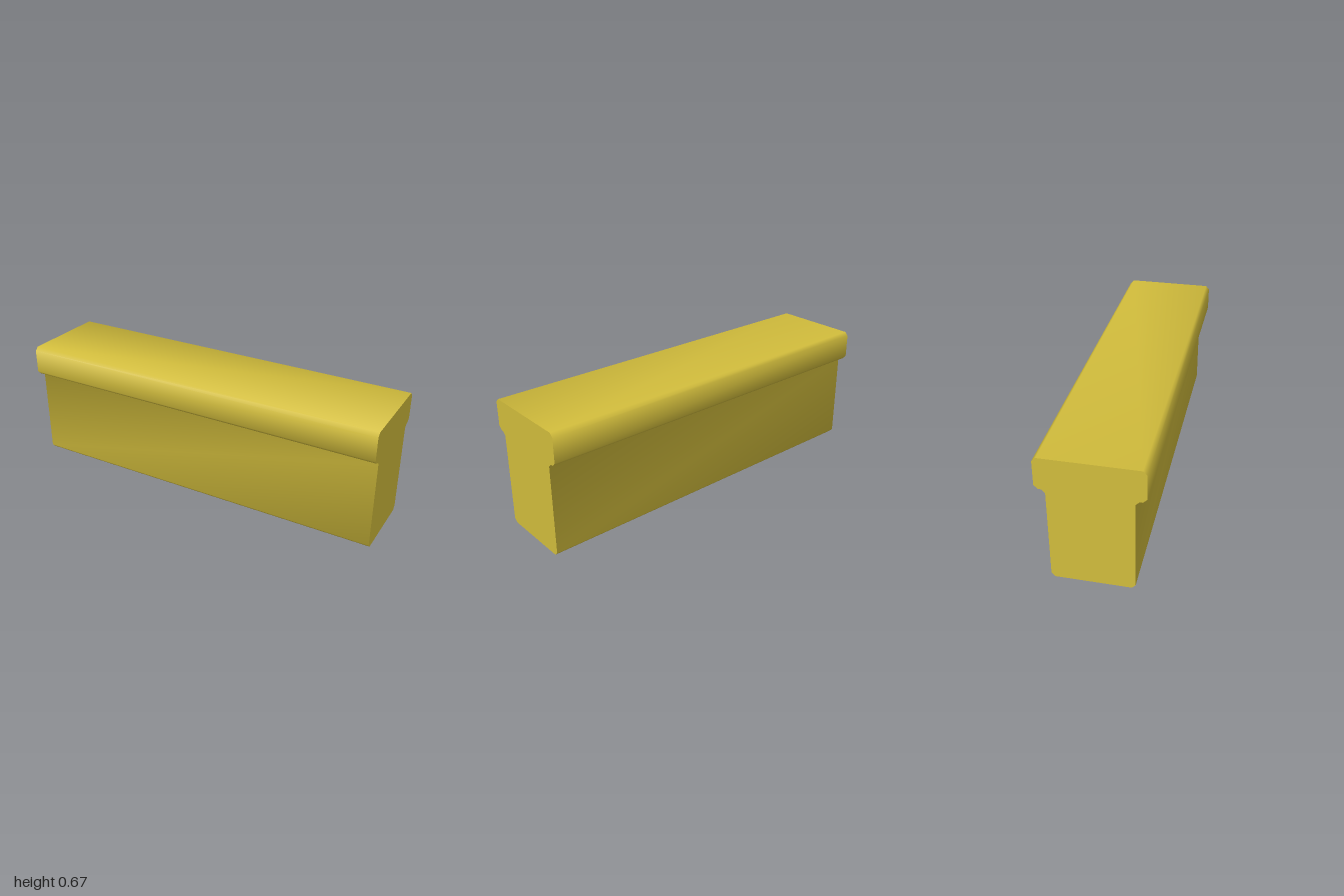
import * as THREE from 'three';
import { toCreasedNormals } from 'three/addons/utils/BufferGeometryUtils.js';

export function createModel() {
  const group = new THREE.Group();
  group.name = 'cappedBeam';

  const ochre = new THREE.MeshStandardMaterial({ color: 0xd2bd3c });
  ochre.name = 'ochre';

  // Half of the T-shaped cross-section, from the foot up to the cap
  const half = [
    [0.182, 0], [0.2, 0.019], [0.2, 0.485], [0.218, 0.503],
    [0.232, 0.503], [0.251, 0.522], [0.251, 0.648], [0.232, 0.667],
  ];
  const mirrored = half.map(([z, y]) => [-z, y]).reverse();
  const profile = new THREE.Shape([...half, ...mirrored].map(([z, y]) => new THREE.Vector2(z, y)));

  // Run the profile along x; chamfers shade smoothly, ends stay sharp
  const extruded = new THREE.ExtrudeGeometry(profile, { depth: 2, bevelEnabled: false });
  extruded.translate(0, 0, -1).rotateY(Math.PI / 2);
  const beam = new THREE.Mesh(toCreasedNormals(extruded, Math.PI / 3), ochre);
  beam.name = 'beam';
  group.add(beam);

  return group;
}
